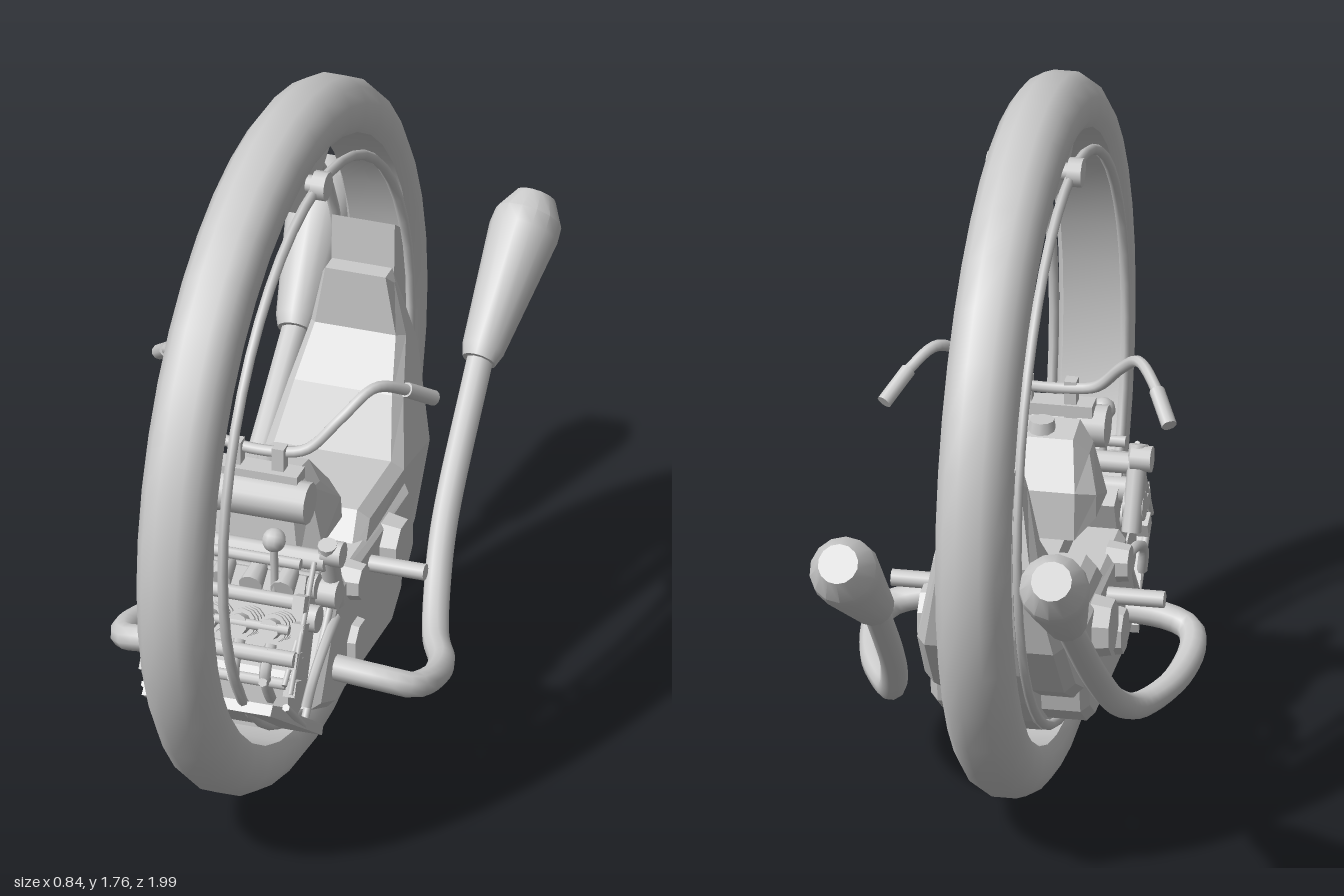
import * as THREE from 'three';
import { toCreasedNormals } from 'three/addons/utils/BufferGeometryUtils.js';

const smooth = new THREE.MeshStandardMaterial({ color: 0xcccccc });
const flat = new THREE.MeshStandardMaterial({ color: 0xcccccc, flatShading: true });
const V = (x, y, z) => new THREE.Vector3(x, y, z);
const HUB = { y: 0.88, z: 0.125 };

function add(parent, name, geo, mat = smooth, x = 0, y = 0, z = 0) {
  const m = new THREE.Mesh(geo, mat);
  m.name = name;
  m.position.set(x, y, z);
  parent.add(m);
  return m;
}

// Side profile given as [z, y], extruded to a half width across x
function slab(pts, half, bevel = 0) {
  const shape = new THREE.Shape(pts.map(([z, y]) => new THREE.Vector2(z, y)));
  const geo = new THREE.ExtrudeGeometry(shape, {
    depth: 2 * (half - bevel), bevelEnabled: bevel > 0, bevelSegments: 1,
    bevelSize: bevel, bevelThickness: bevel, bevelOffset: -bevel,
  });
  geo.translate(0, 0, bevel - half);
  return geo.rotateY(-Math.PI / 2);
}

// Change the width by a rule of height
function taper(geo, rule) {
  const p = geo.attributes.position;
  for (let i = 0; i < p.count; i++) p.setX(i, p.getX(i) * rule(p.getY(i), p.getZ(i)));
  geo.computeVertexNormals();
  return geo;
}

const barX = (r, len, sides = 12) => new THREE.CylinderGeometry(r, r, len, sides).rotateZ(Math.PI / 2);
const tube = (pts, r, seg = 24, sides = 8) =>
  new THREE.TubeGeometry(new THREE.CatmullRomCurve3(pts.map(p => V(...p)), false, 'centripetal'), seg, r, sides);

function rod(parent, name, a, b, r, sides = 6) {
  const A = V(...a), B = V(...b), d = B.clone().sub(A);
  const m = add(parent, name, new THREE.CylinderGeometry(r, r, d.length(), sides));
  m.position.copy(A).add(B).multiplyScalar(0.5);
  m.quaternion.setFromUnitVectors(V(0, 1, 0), d.normalize());
  return m;
}

// Tyre, guide rails and top roller
function buildWheel(g) {
  const profile = [[0.75, -0.075], [0.775, -0.09], [0.825, -0.088], [0.86, -0.065], [0.88, -0.03],
    [0.88, 0.03], [0.86, 0.065], [0.825, 0.088], [0.775, 0.09], [0.75, 0.075], [0.75, -0.075]];
  const tyre = new THREE.LatheGeometry(profile.map(p => new THREE.Vector2(...p)), 40).rotateZ(Math.PI / 2);
  add(g, 'tyre', toCreasedNormals(tyre, 0.7), smooth, 0, HUB.y, HUB.z);
  for (const s of [-1, 1]) {
    add(g, 'guideRail', new THREE.TorusGeometry(0.697, 0.013, 6, 48).rotateY(Math.PI / 2), smooth, s * 0.088, HUB.y, HUB.z);
    add(g, 'rollerCap', barX(0.036, 0.035, 12), smooth, s * 0.1, 1.587, HUB.z);
  }
  add(g, 'rollerAxle', barX(0.022, 0.19), smooth, 0, 1.587, HUB.z);
  add(g, 'rollerShoe', slab([[0.29, 1.6], [0.21, 1.55], [0.04, 1.55], [-0.04, 1.6], [0.04, 1.625], [0.21, 1.625]], 0.065), flat);
}

// Frame, side pods, seat and tank
function buildBody(g) {
  const spine = [[0.43, 0.31], [0.29, 0.56], [0.27, 0.63], [-0.25, 0.62], [-0.34, 0.76], [-0.47, 0.88], [-0.48, 1.15], [-0.58, 1.08]];
  for (let i = 0; i <= 12; i++) {
    const a = -1.8 + i * 2.25 / 12;
    spine.push([HUB.z + 0.71 * Math.sin(a), HUB.y - 0.71 * Math.cos(a)]);
  }
  add(g, 'frame', slab(spine, 0.08), flat);

  const pod = slab([[0.43, 0.31], [0.28, 0.57], [-0.27, 0.57], [-0.21, 0.31], [-0.13, 0.25], [0.3, 0.25]], 0.195, 0.02);
  add(g, 'sidePod', pod, flat);

  const seat = slab([[0.08, 0.55], [0.0, 0.63], [-0.25, 0.63], [-0.33, 0.765], [-0.42, 0.88], [-0.42, 1.035], [-0.47, 1.035],
    [-0.53, 0.83], [-0.47, 0.58], [-0.34, 0.42], [-0.2, 0.34], [0.02, 0.4]], 0.185, 0.025);
  add(g, 'seat', taper(seat, y => THREE.MathUtils.clamp(1 - (y - 0.57) * 1.15, 0.48, 1)), flat);

  const tank = slab([[0.31, 0.63], [0.3, 0.82], [0.26, 0.865], [0.17, 0.85], [0.08, 0.75], [0.07, 0.63]], 0.15, 0.045);
  add(g, 'fuelTank', taper(tank, y => (y > 0.8 ? 0.8 : 1)), flat);
  add(g, 'fuelCap', new THREE.CylinderGeometry(0.03, 0.035, 0.03, 10), smooth, 0, 0.865, 0.21);

  // Covers: [z, y, radius, reach in x]
  const covers = [[-0.1, 0.49, 0.08, 0.235], [0.17, 0.535, 0.052, 0.225], [0.155, 0.36, 0.065, 0.215]];
  for (const s of [-1, 1]) {
    for (const [z, y, r, x] of covers) {
      const c = new THREE.CylinderGeometry(r * 0.85, r, x - 0.17, 8).rotateY(Math.PI / 8).rotateZ(-s * Math.PI / 2);
      add(g, 'sideCover', c, flat, s * (x + 0.17) / 2, y, z);
    }
  }
  add(g, 'footPegs', barX(0.021, 0.67, 10), smooth, 0, 0.51, 0.035);
  const skid = slab([[0.69, 0.43], [0.67, 0.45], [0.4, 0.26], [0.41, 0.235]], 0.2);
  add(g, 'skidPlate', taper(skid, y => (y > 0.4 ? 0.82 : 1)), flat);
}

// Engine leaning back, with rows of cylinders, pipes and linkages
function buildEngine(g) {
  const e = new THREE.Group();
  e.name = 'engine';
  e.position.set(0, 0.52, 0.46);
  e.rotation.x = -0.4;
  g.add(e);
  add(e, 'engineBlock', new THREE.BoxGeometry(0.32, 0.27, 0.12), flat, 0, 0.02, -0.05);
  add(e, 'crankcase', barX(0.075, 0.33, 10), flat, 0, -0.12, -0.02);
  for (let i = 0; i < 4; i++) {
    const x = -0.12 + i * 0.08;
    // finned barrel
    add(e, 'barrel', new THREE.CylinderGeometry(0.026, 0.026, 0.16, 10).rotateX(Math.PI / 2), smooth, x, 0.03, 0.06);
    for (let k = 0; k < 4; k++)
      add(e, 'coolingFin', new THREE.CylinderGeometry(0.036, 0.036, 0.008, 12).rotateX(Math.PI / 2), smooth, x, 0.03, 0.025 + k * 0.025);
    // intake funnel and bolts
    add(e, 'intake', new THREE.CylinderGeometry(0.022, 0.03, 0.07, 10).rotateX(-0.9), smooth, x, 0.14, 0.04);
    for (let k = 0; k < 3; k++)
      add(e, 'bolt', new THREE.CylinderGeometry(0.012, 0.012, 0.03, 6).rotateX(Math.PI / 2), flat, x, -0.1 + k * 0.07, 0.115);
    add(e, 'header', tube([[x, -0.01, 0.1], [x, -0.08, 0.12], [x, -0.13, 0.07], [x, -0.18, -0.05]], 0.015, 14, 6));
  }
  // cross shafts: [y, z, radius, length]
  const shafts = [[0.19, 0.07, 0.014, 0.32], [0.1, 0.095, 0.018, 0.36], [0.035, 0.13, 0.012, 0.34],
    [-0.035, 0.12, 0.02, 0.38], [-0.1, 0.1, 0.014, 0.34], [0.13, -0.03, 0.032, 0.36]];
  for (const [y, z, r, len] of shafts) add(e, 'crossShaft', barX(r, len, 10), smooth, 0, y, z);
  for (const s of [-1, 1]) {
    add(e, 'sideCap', barX(0.034, 0.05), smooth, s * 0.165, 0.05, -0.04);
    add(e, 'coil', new THREE.SphereGeometry(0.03, 10, 8), smooth, s * 0.1, 0.245, 0.12);
    rod(e, 'coilStem', [s * 0.1, 0.24, 0.12], [s * 0.1, 0.1, 0.05], 0.01);
    for (let k = 0; k < 4; k++)
      add(e, 'clampBlock', new THREE.BoxGeometry(0.03, 0.04, 0.045), flat, s * 0.18, -0.11 + k * 0.07, 0.075 + (k % 2) * 0.02);
    rod(e, 'linkage', [s * 0.19, 0.2, 0.06], [s * 0.19, -0.12, 0.12], 0.007);
    rod(e, 'linkage', [s * 0.175, -0.1, 0.13], [s * 0.175, 0.08, 0.03], 0.007);
    // struts and hoses joining engine to frame
    rod(g, 'engineStrut', [s * 0.18, 0.3, 0.49], [s * 0.18, 0.53, 0.29], 0.01);
    rod(g, 'engineStrut', [s * 0.18, 0.3, 0.49], [s * 0.18, 0.42, 0.62], 0.01);
    add(g, 'hose', tube([[s * 0.19, 0.36, 0.5], [s * 0.2, 0.43, 0.47], [s * 0.2, 0.48, 0.38], [s * 0.19, 0.49, 0.28]], 0.013, 16, 6));
    // shock bodies beside the tank
    add(g, 'sideKnob', barX(0.032, 0.05), smooth, s * 0.215, 0.72, 0.37);
    add(g, 'sideKnob', barX(0.036, 0.05), smooth, s * 0.2, 0.6, 0.355);
    rod(g, 'sideDamper', [s * 0.205, 0.75, 0.385], [s * 0.2, 0.55, 0.31], 0.024, 10);
  }
  add(g, 'upperShaft', barX(0.026, 0.4), smooth, 0, 0.7, 0.38);
}

// Handlebar with clamps and front cylinder
function buildSteering(g) {
  add(g, 'frontCylinder', barX(0.052, 0.28, 12), smooth, 0, 0.82, 0.325);
  const half = [[0.06, 0.93, 0.29], [0.12, 0.945, 0.28], [0.19, 1.02, 0.24], [0.25, 1.075, 0.165], [0.305, 1.04, 0.09], [0.345, 0.995, 0.025]];
  const path = [...half.map(([x, y, z]) => [-x, y, z]).reverse(), ...half];
  add(g, 'handlebar', tube(path, 0.014, 60));
  for (const s of [-1, 1]) {
    rod(g, 'grip', [s * 0.305, 1.04, 0.09], [s * 0.35, 0.985, 0.015], 0.019, 10);
    add(g, 'barClamp', new THREE.BoxGeometry(0.03, 0.1, 0.035), flat, s * 0.055, 0.9, 0.3);
  }
  add(g, 'clampBridge', new THREE.BoxGeometry(0.22, 0.03, 0.06), flat, 0, 0.875, 0.305);
}

// Exhaust pipe and silencer on one side (s = 1 or -1)
function buildExhaust(g, s) {
  const path = [[0.15, 0.36, 0.29], [0.31, 0.345, 0.285], [0.365, 0.33, 0.265], [0.388, 0.315, 0.2], [0.37, 0.285, 0.06],
    [0.31, 0.275, -0.07], [0.275, 0.33, -0.18], [0.25, 0.45, -0.31], [0.235, 0.75, -0.63]];
  add(g, 'exhaustPipe', tube(path.map(([x, y, z]) => [s * x, y, z]), 0.033, 44, 10));
  const a = V(s * 0.235, 0.735, -0.61), b = V(s * 0.262, 1.01, -0.955);
  const d = b.clone().sub(a), len = d.length();
  const prof = [[0, 0], [0.042, 0], [0.052, 0.03], [0.086, len * 0.78], [0.083, len * 0.87], [0.05, len], [0, len]];
  const geo = new THREE.LatheGeometry(prof.map(p => new THREE.Vector2(...p)), 14);
  const m = add(g, 'silencer', toCreasedNormals(geo, 0.5), smooth, a.x, a.y, a.z);
  m.quaternion.setFromUnitVectors(V(0, 1, 0), d.normalize());
}

export function createModel() {
  const root = new THREE.Group();
  root.name = 'monowheel';
  const core = new THREE.Group();
  core.name = 'wheelAndBody';
  core.position.x = -0.015;
  root.add(core);
  buildWheel(core);
  buildBody(core);
  buildEngine(core);
  buildSteering(core);
  for (const s of [-1, 1]) buildExhaust(root, s);
  return root;
}
